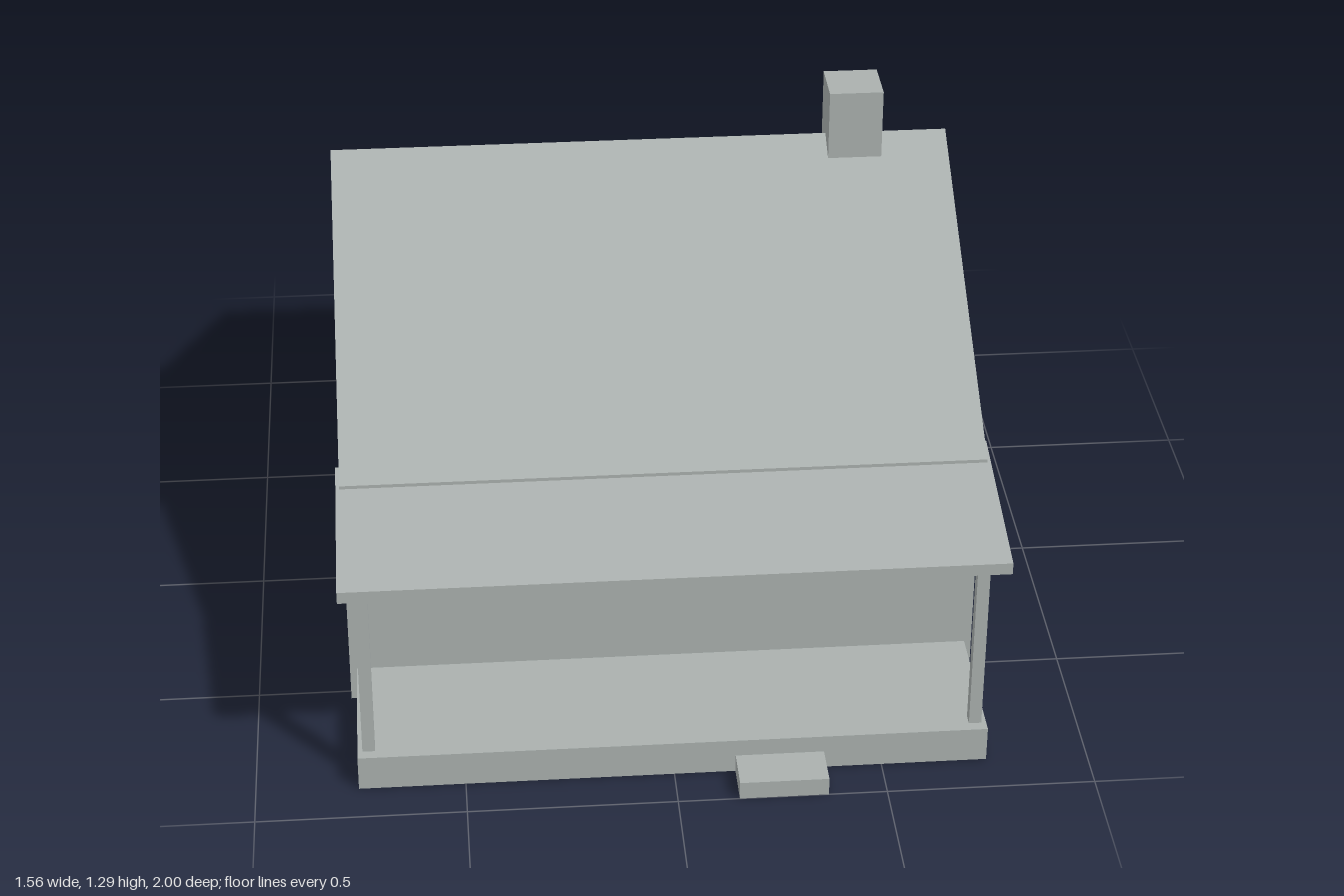
import * as THREE from 'three';

const siding = new THREE.MeshStandardMaterial({ color: 0xaab0ae, side: THREE.DoubleSide });
siding.name = 'grey';

function add(parent, name, geometry) {
  const mesh = new THREE.Mesh(geometry, siding);
  mesh.name = name;
  parent.add(mesh);
  return mesh;
}

// Flat sheets spanning -w..w in x, one for each step of a [z, y] profile
function sheet(profile, w) {
  const pos = [];
  for (let i = 0; i + 1 < profile.length; i++) {
    const [z0, y0] = profile[i], [z1, y1] = profile[i + 1];
    pos.push(-w, y0, z0, w, y0, z0, w, y1, z1, -w, y0, z0, w, y1, z1, -w, y1, z1);
  }
  const g = new THREE.BufferGeometry();
  g.setAttribute('position', new THREE.Float32BufferAttribute(pos, 3));
  g.computeVertexNormals();
  return g;
}

// End panel filling a [z, y] profile at x = side * w
function endPanel(profile, w, side) {
  const shape = new THREE.Shape(profile.map(([z, y]) => new THREE.Vector2(-side * z, y)));
  return new THREE.ShapeGeometry(shape).rotateY(side * Math.PI / 2).translate(side * w, 0, 0);
}

// Box from min/max corners; hollow boxes lose their bottom and back faces
function box(x0, x1, y0, y1, z0, z1, hollow = false) {
  const g = new THREE.BoxGeometry(x1 - x0, y1 - y0, z1 - z0);
  if (hollow) {
    const idx = Array.from(g.index.array);
    g.setIndex([...idx.slice(0, 18), ...idx.slice(24, 30)]);
    g.clearGroups();
  }
  return g.translate((x0 + x1) / 2, (y0 + y1) / 2, (z0 + z1) / 2);
}

export function createModel() {
  const model = new THREE.Group();
  model.name = 'cabin';

  // House shell, open underneath, with boxed eaves
  const W = 0.772;
  const shell = [
    [0.53, 0], [0.53, 0.64], [0.6, 0.64], [0.6, 0.67], [-0.2, 1.15],
    [-1, 0.67], [-1, 0.64], [-0.925, 0.64], [-0.925, 0],
  ];
  add(model, 'frontWall', sheet(shell.slice(0, 2), W));
  add(model, 'frontEave', sheet(shell.slice(1, 4), W));
  add(model, 'mainRoof', sheet(shell.slice(3, 6), W));
  add(model, 'backEave', sheet(shell.slice(5, 8), W));
  add(model, 'backWall', sheet(shell.slice(7, 9), W));
  add(model, 'leftGableWall', endPanel(shell, W, 1));
  add(model, 'rightGableWall', endPanel(shell, W, -1));

  // Porch roof wedge
  const porchRoof = new THREE.Group();
  porchRoof.name = 'porchRoof';
  model.add(porchRoof);
  const wedge = [[0.525, 0.567], [0.935, 0.567], [0.935, 0.597], [0.525, 0.676]];
  add(porchRoof, 'porchRoofFaces', sheet([...wedge, wedge[0]], 0.781));
  for (const side of [1, -1]) {
    add(porchRoof, side > 0 ? 'porchRoofLeftEnd' : 'porchRoofRightEnd', endPanel(wedge, 0.781, side));
  }

  // Porch deck, step and posts
  add(model, 'porchDeck', box(-0.755, 0.755, 0, 0.09, 0.53, 0.893, true));
  add(model, 'porchStep', box(0.147, 0.36, 0, 0.046, 0.893, 1, true));
  for (const side of [1, -1]) {
    const x = side * 0.728;
    add(model, side > 0 ? 'leftPorchPost' : 'rightPorchPost',
      box(x - 0.015, x + 0.015, 0.09, 0.567, 0.838, 0.867));
  }

  // Chimney on the ridge
  add(model, 'chimney', box(0.468, 0.602, 1.112, 1.29, -0.265, -0.135));

  return model;
}
